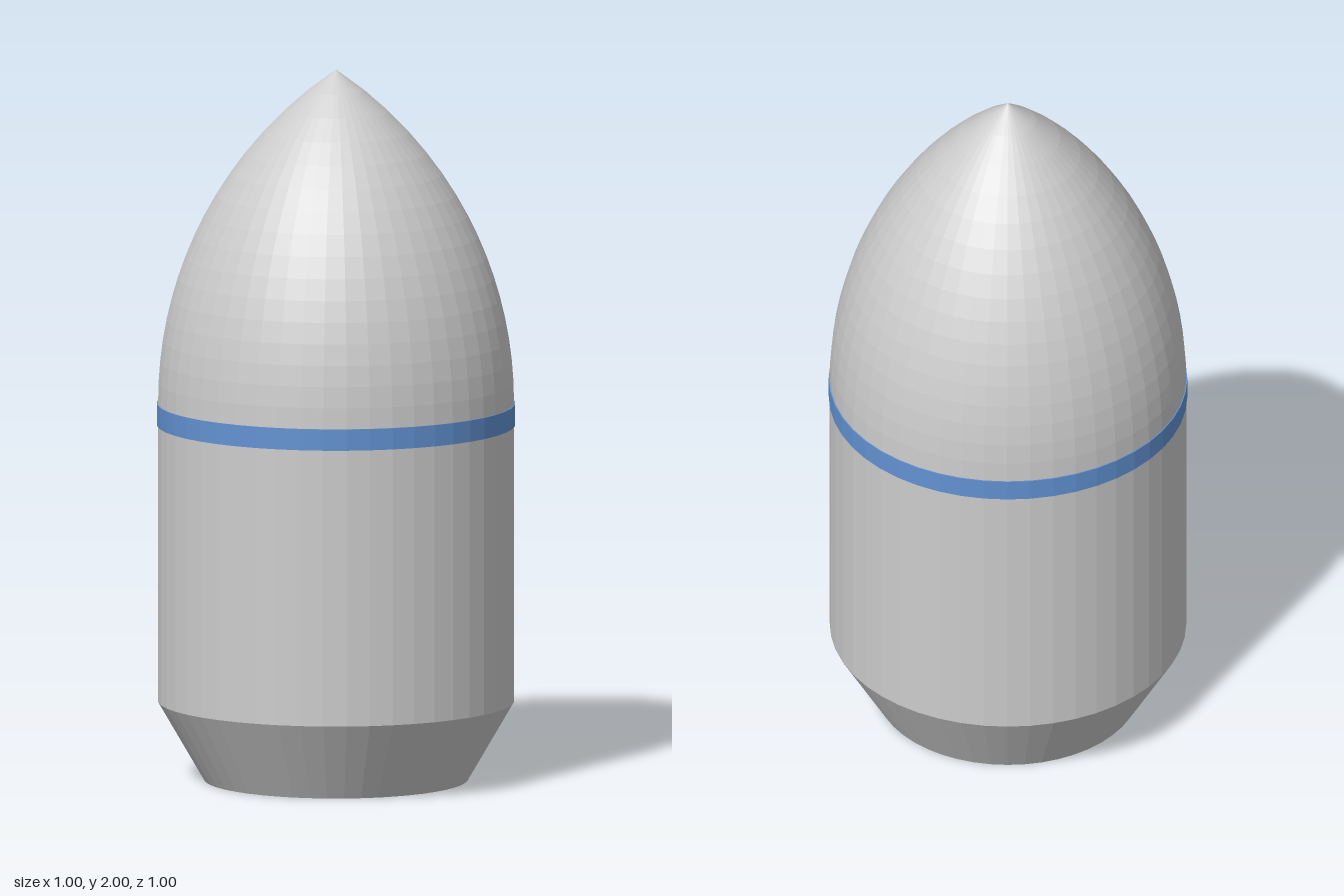
import * as THREE from 'three';

const SIDES = 48;
const RADIUS = 0.497;

export function createModel() {
  const model = new THREE.Group();
  model.name = 'capsule';
  const grey = new THREE.MeshStandardMaterial({ color: 0xcccccc, flatShading: true });
  grey.name = 'light grey';
  const blue = new THREE.MeshStandardMaterial({ color: 0x6292d2, flatShading: true });
  blue.name = 'band blue';

  const lathe = (name, points, material) => {
    const profile = points.map(([r, y]) => new THREE.Vector2(r, y));
    const mesh = new THREE.Mesh(new THREE.LatheGeometry(profile, SIDES), material);
    mesh.name = name;
    model.add(mesh);
  };

  // Closed, tapered base
  lathe('taperedBase', [[0, 0], [0.368, 0], [RADIUS, 0.222]], grey);

  // Straight cylindrical body
  lathe('body', [[RADIUS, 0.222], [RADIUS, 1.06]], grey);

  // Slightly raised band with top and bottom lips
  lathe('band', [[RADIUS, 1.0], [0.5, 1.0], [0.5, 1.06], [RADIUS, 1.06]], blue);

  // Pointed nose: a circular arc tangent to the body, in equal height steps
  const length = 0.94, steps = 16;
  const arc = (RADIUS ** 2 + length ** 2) / (2 * RADIUS);
  const nose = [];
  for (let i = 0; i <= steps; i++) {
    const h = (length * i) / steps;
    const r = Math.sqrt(arc * arc - h * h) - (arc - RADIUS);
    nose.push([i === steps ? 0 : r, 1.06 + h]);
  }
  lathe('nose', nose, grey);

  return model;
}
